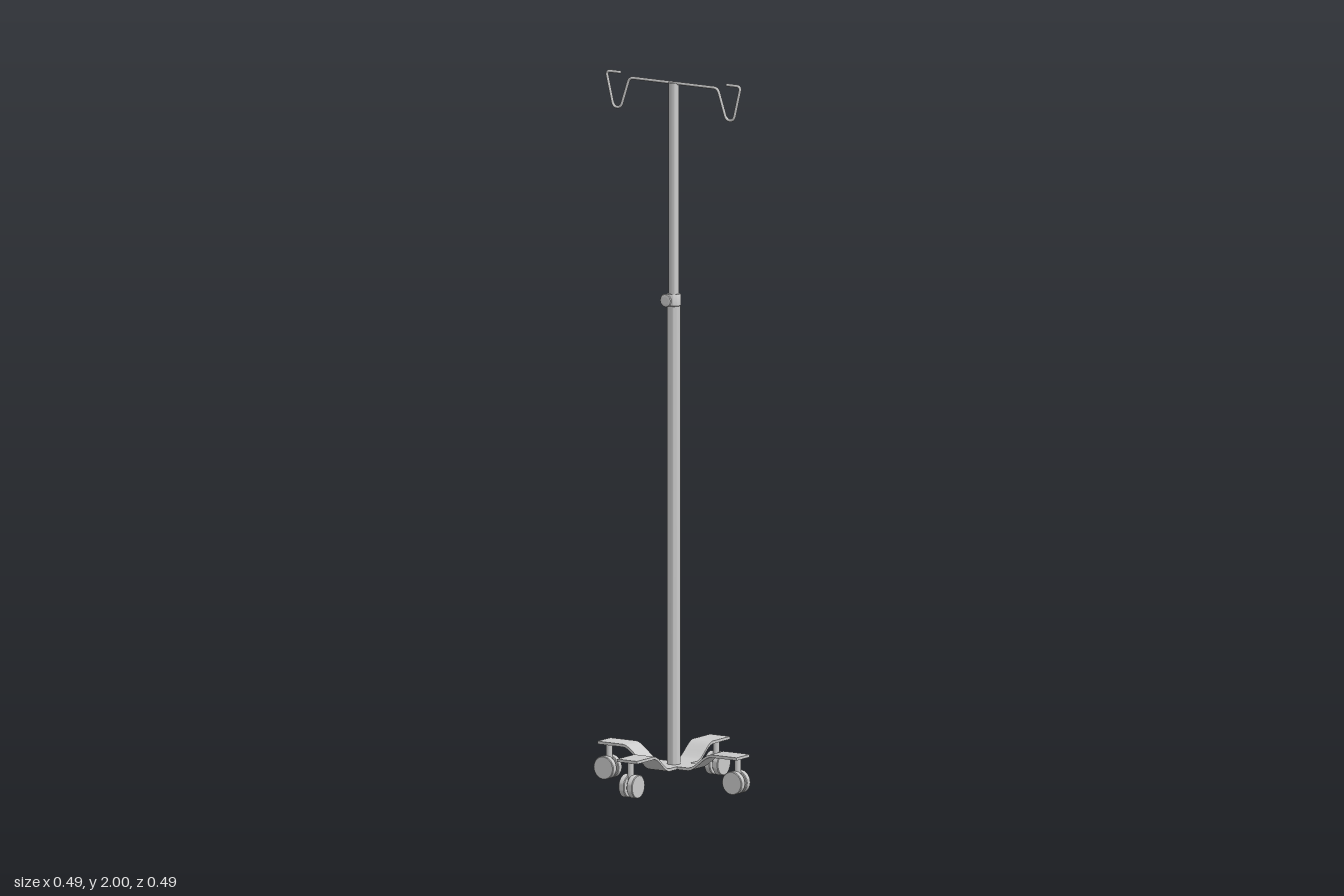
import * as THREE from 'three';
import { toCreasedNormals } from 'three/addons/utils/BufferGeometryUtils.js';

const material = new THREE.MeshStandardMaterial({ color: 0xcccccc });

function part(name, geometry, parent, x = 0, y = 0, z = 0) {
  const mesh = new THREE.Mesh(geometry, material);
  mesh.name = name;
  mesh.position.set(x, y, z);
  parent.add(mesh);
  return mesh;
}

// Vertical turned part from [radius, y] pairs, with crisp edges
function turned(profile, sides = 32) {
  const points = profile.map(([r, y]) => new THREE.Vector2(r, y));
  return toCreasedNormals(new THREE.LatheGeometry(points, sides), 0.6);
}

// Polyline path with each corner rounded off
function roundedPath(points, radius) {
  const path = new THREE.CurvePath();
  let start = points[0];
  for (let i = 1; i < points.length - 1; i++) {
    const p = points[i];
    const toward = (q) => p.clone().add(
      q.clone().sub(p).setLength(Math.min(radius, p.distanceTo(q) * 0.45)));
    const a = toward(points[i - 1]);
    const b = toward(points[i + 1]);
    path.add(new THREE.LineCurve3(start, a));
    path.add(new THREE.QuadraticBezierCurve3(a, p, b));
    start = b;
  }
  path.add(new THREE.LineCurve3(start, points[points.length - 1]));
  return path;
}

// Flat strap leg: low at the pole, S-bend up to a raised end, running along +x
function legGeometry() {
  const inner = 0.033, bendIn = 0.068, bendOut = 0.148, outer = 0.232;
  const low = 0.056, rise = 0.045, thick = 0.008, width = 0.066, steps = 20;
  const line = [[inner, low]];
  for (let i = 0; i <= steps; i++) {
    const t = i / steps;
    line.push([bendIn + (bendOut - bendIn) * t, low + rise * t * t * (3 - 2 * t)]);
  }
  line.push([outer, low + rise]);
  const upper = line.map(([x, y]) => [x, y + thick]).reverse();
  const shape = new THREE.Shape([...line, ...upper].map(([x, y]) => new THREE.Vector2(x, y)));
  const geometry = new THREE.ExtrudeGeometry(shape, { depth: width, bevelEnabled: false });
  geometry.translate(0, 0, -width / 2);
  return toCreasedNormals(geometry, 0.6);
}

// Twin-wheel caster, wheels rolling along x and trailing toward -x
function makeCaster() {
  const caster = new THREE.Group();
  caster.name = 'caster';
  const trail = -0.005, radius = 0.033;
  part('casterStem', new THREE.CylinderGeometry(0.009, 0.009, 0.068, 20), caster, 0, 0.069, 0);
  const axle = part('axle', new THREE.CylinderGeometry(0.009, 0.009, 0.012, 20), caster, trail, radius, 0);
  axle.rotation.x = Math.PI / 2;
  const wheel = turned([
    [0, -0.0095], [0.031, -0.0095], [radius, -0.0075],
    [radius, 0.0075], [0.031, 0.0095], [0, 0.0095],
  ]);
  for (const side of [-1, 1]) {
    part('wheel', wheel, caster, trail, radius, side * 0.0135).rotation.x = Math.PI / 2;
  }
  return caster;
}

export function createModel() {
  const model = new THREE.Group();
  model.name = 'wheeledHangerStand';
  const stand = new THREE.Group();
  stand.name = 'stand';
  stand.position.set(0.004, 0, 0.004);
  model.add(stand);

  // Cross-shaped base
  part('baseCentre', new THREE.BoxGeometry(0.066, 0.008, 0.066), stand, 0, 0.06, 0);
  const leg = legGeometry();
  for (let i = 0; i < 4; i++) {
    const angle = i * Math.PI / 2;
    part('leg', leg, stand).rotation.y = angle;
    const caster = makeCaster();
    caster.position.set(0.214 * Math.cos(angle), 0, -0.214 * Math.sin(angle));
    // Side casters trail toward -x, front and back ones toward -z
    caster.rotation.y = i % 2 ? -Math.PI / 2 : 0;
    stand.add(caster);
  }

  // Telescopic pole
  part('lowerPole', turned([
    [0, 0.058], [0.0185, 0.058], [0.0185, 1.355], [0.02, 1.357],
    [0.02, 1.386], [0.0185, 1.389], [0.014, 1.389],
  ]), stand, 0, 0, -0.001);
  part('upperPole', turned([[0, 1.3], [0.014, 1.3], [0.014, 1.984], [0, 1.984]]), stand, 0, 0, -0.001);

  // Height clamp knob facing forward
  const knob = part('clampKnob', turned([
    [0, 0.012], [0.006, 0.012], [0.006, 0.028], [0.009, 0.033], [0.018, 0.036],
    [0.019, 0.038], [0.017, 0.041], [0.009, 0.043], [0, 0.0435],
  ]), stand, 0, 1.375, 0);
  knob.rotation.x = Math.PI / 2;

  // Bent wire hanger with a hook at each end
  const half = [
    [0.147, 1.983], [0.176, 1.896], [0.2, 1.896], [0.224, 1.995], [0.179, 1.995],
  ];
  const points = [
    ...half.map(([x, y]) => new THREE.Vector3(-x, y, 0)).reverse(),
    ...half.map(([x, y]) => new THREE.Vector3(x, y, 0)),
  ];
  const wireRadius = 0.0042;
  const hanger = new THREE.Group();
  hanger.name = 'hanger';
  stand.add(hanger);
  part('hangerWire', new THREE.TubeGeometry(roundedPath(points, 0.014), 240, wireRadius, 10), hanger);
  for (const tip of [points[0], points[points.length - 1]]) {
    part('hookTip', new THREE.SphereGeometry(wireRadius, 10, 8), hanger, tip.x, tip.y, tip.z);
  }
  return model;
}
